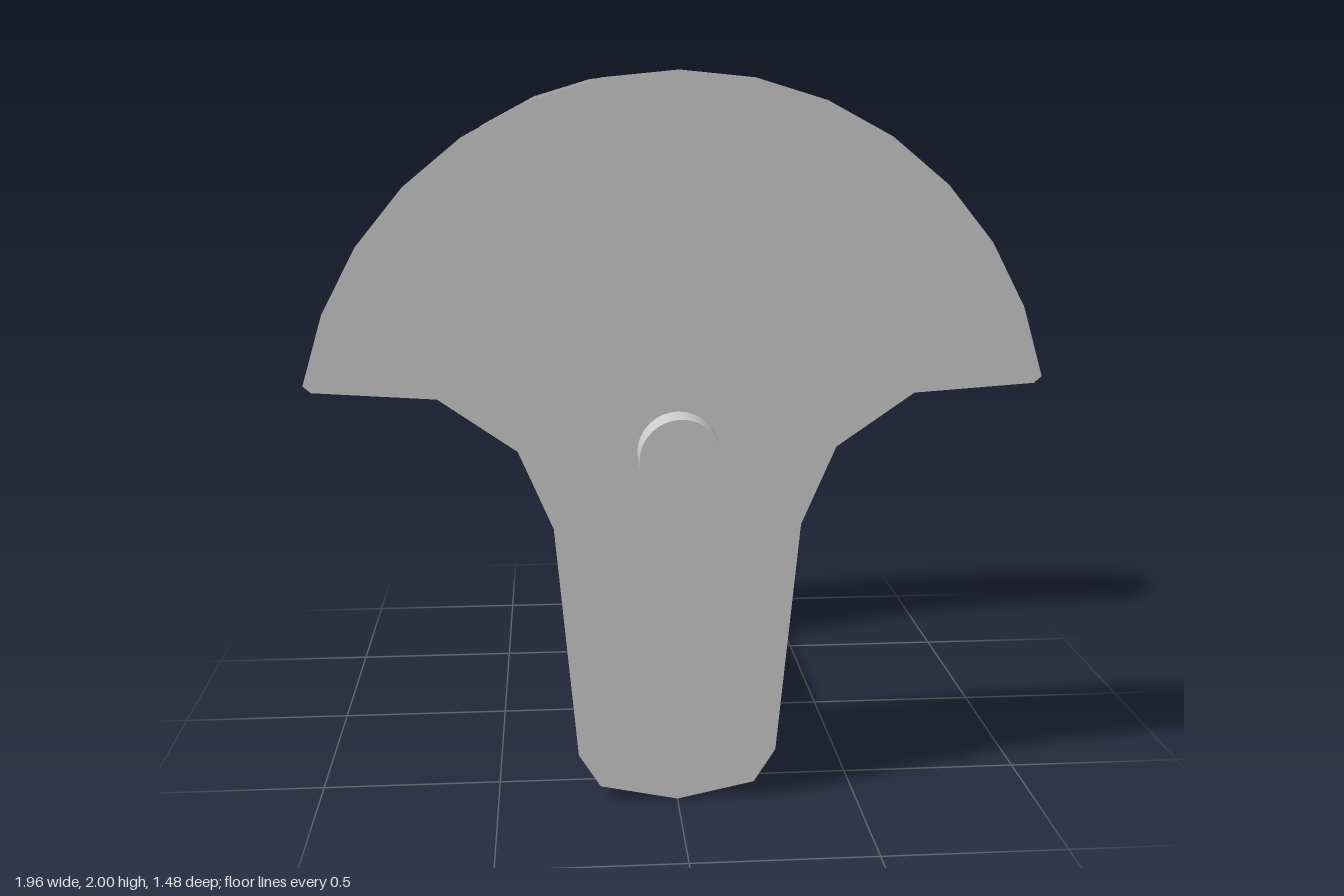
import * as THREE from 'three';

export function createModel() {
  const group = new THREE.Group();
  group.name = 'crankThrow';
  const flat = new THREE.MeshStandardMaterial({ color: 0xcccccc, flatShading: true });
  const smooth = new THREE.MeshStandardMaterial({ color: 0xcccccc });

  const inner = 0.55, outer = 0.64, end = 0.74;

  // Web outline, right half: counterweight arc, then shoulder and tapered arm
  const half = [];
  for (let i = 0; i <= 7; i++) {
    const a = THREE.MathUtils.degToRad(11.25 * i);
    half.push([Math.sin(a), 1 + Math.cos(a)]);
  }
  half.push([0.96, 1.177], [0.635, 1.155], [0.427, 1.01], [0.335, 0.795],
    [0.275, 0.14], [0.215, 0.045], [0, 0]);
  const mirrored = half.slice(1, -1).reverse().map(([x, y]) => [-x, y]);
  const outline = new THREE.Shape([...half, ...mirrored].map(([x, y]) => new THREE.Vector2(x, y)));
  const webGeometry = new THREE.ExtrudeGeometry(outline, { depth: outer - inner, bevelEnabled: false });

  // Round bar along z between two depths
  function bar(name, radius, y, z0, z1) {
    const geometry = new THREE.CylinderGeometry(radius, radius, z1 - z0, 32);
    geometry.rotateX(Math.PI / 2);
    const mesh = new THREE.Mesh(geometry, smooth);
    mesh.name = name;
    mesh.position.set(0, y, (z0 + z1) / 2);
    group.add(mesh);
  }

  // Webs
  for (const [name, z] of [['frontWeb', inner], ['backWeb', -outer]]) {
    const web = new THREE.Mesh(webGeometry, flat);
    web.name = name;
    web.position.z = z;
    group.add(web);
  }

  // Main journals on the outside, crank pin between the webs
  bar('frontJournal', 0.11, 1.003, outer, end);
  bar('backJournal', 0.11, 1.003, -end, -outer);
  bar('crankPin', 0.092, 0.508, -inner, inner);

  return group;
}
